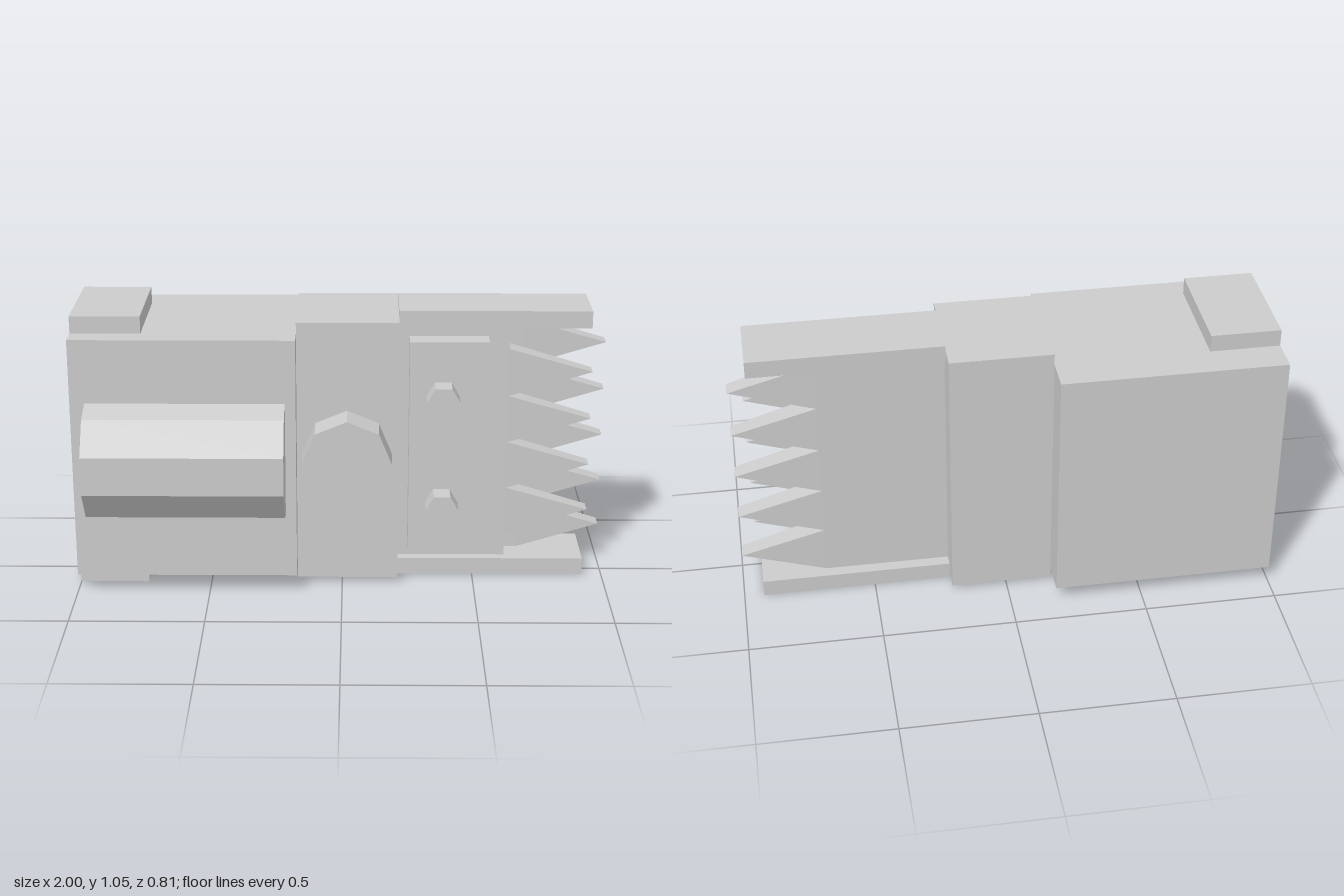
import * as THREE from 'three';

const material = new THREE.MeshStandardMaterial({ color: 0xcccccc, flatShading: true });
const MID_Y = 0.5275;

export function createModel() {
  const model = new THREE.Group();

  function add(name, geometry) {
    const mesh = new THREE.Mesh(geometry, material);
    mesh.name = name;
    model.add(mesh);
    return mesh;
  }

  // Box given by its limits on each axis
  function box(name, [x0, x1], [y0, y1], [z0, z1]) {
    const geometry = new THREE.BoxGeometry(x1 - x0, y1 - y0, z1 - z0);
    add(name, geometry).position.set((x0 + x1) / 2, (y0 + y1) / 2, (z0 + z1) / 2);
  }

  // Faceted prism pointing to the front
  function knob(name, radius, sides, turn, x, y, z0, z1) {
    const geometry = new THREE.CylinderGeometry(radius, radius, z1 - z0, sides);
    geometry.rotateY(turn).rotateX(Math.PI / 2);
    add(name, geometry).position.set(x, y, (z0 + z1) / 2);
  }

  // Wedge tooth whose tip edge is narrower than its root
  function tooth(name, rootX, y, z0, z1) {
    const length = 0.315, half = 0.0925, depth = z1 - z0;
    const shape = new THREE.Shape();
    shape.moveTo(0, -half);
    shape.lineTo(length, 0);
    shape.lineTo(0, half);
    shape.closePath();
    const geometry = new THREE.ExtrudeGeometry(shape, { depth, bevelEnabled: false });
    geometry.translate(0, 0, -depth / 2);
    const p = geometry.attributes.position;
    for (let i = 0; i < p.count; i++) {
      if (p.getX(i) > length / 2) p.setZ(i, p.getZ(i) * 0.76);
    }
    geometry.computeVertexNormals();
    add(name, geometry).position.set(rootX, y, (z0 + z1) / 2);
  }

  // Main body and middle collar
  box('body', [-1, -0.17], [0.065, 0.99], [-0.405, 0.225]);
  box('collar', [-0.17, 0.21], [0.022, 1.033], [-0.275, 0.14]);

  // Upper and lower end tabs and blade guards
  for (const [side, y0] of [['lower', 0], ['upper', 0.99]]) {
    box(side + 'Tab', [-1, -0.74], [y0, y0 + 0.065], [-0.275, 0.14]);
    box(side + 'Guard', [0.21, 0.925], [y0, y0 + 0.065], [-0.195, 0.055]);
  }

  // Ten-sided barrel sunk into the front of the body
  const barrel = new THREE.CylinderGeometry(0.235, 0.235, 0.735, 10);
  barrel.rotateY(Math.PI / 10).rotateZ(Math.PI / 2);
  add('barrel', barrel).position.set(-0.5775, MID_Y, 0.181);

  // Pivot knob on the collar
  knob('pivotKnob', 0.167, 8, 0, 0.018, MID_Y, 0.14, 0.27);

  // Blade cover plate with its two bolts
  box('coverPlate', [0.25, 0.545], [0.11, 0.947], [0.015, 0.1]);
  for (const s of [-1, 1]) {
    knob('bolt', 0.0615, 6, Math.PI / 6, 0.375, MID_Y + s * 0.2125, 0.1, 0.185);
  }

  // Two toothed blades, staggered by half a tooth
  const blades = [
    { name: 'frontBlade', end: 0.625, z: [-0.067, 0.016], teeth: 4 },
    { name: 'rearBlade', end: 0.68, z: [-0.15, -0.067], teeth: 5 },
  ];
  for (const { name, end, z, teeth } of blades) {
    box(name, [0.21, end], [0.065, 0.99], z);
    for (let i = 0; i < teeth; i++) {
      tooth(name + 'Tooth', end, MID_Y + (i - (teeth - 1) / 2) * 0.185, z[0], z[1]);
    }
  }

  return model;
}
